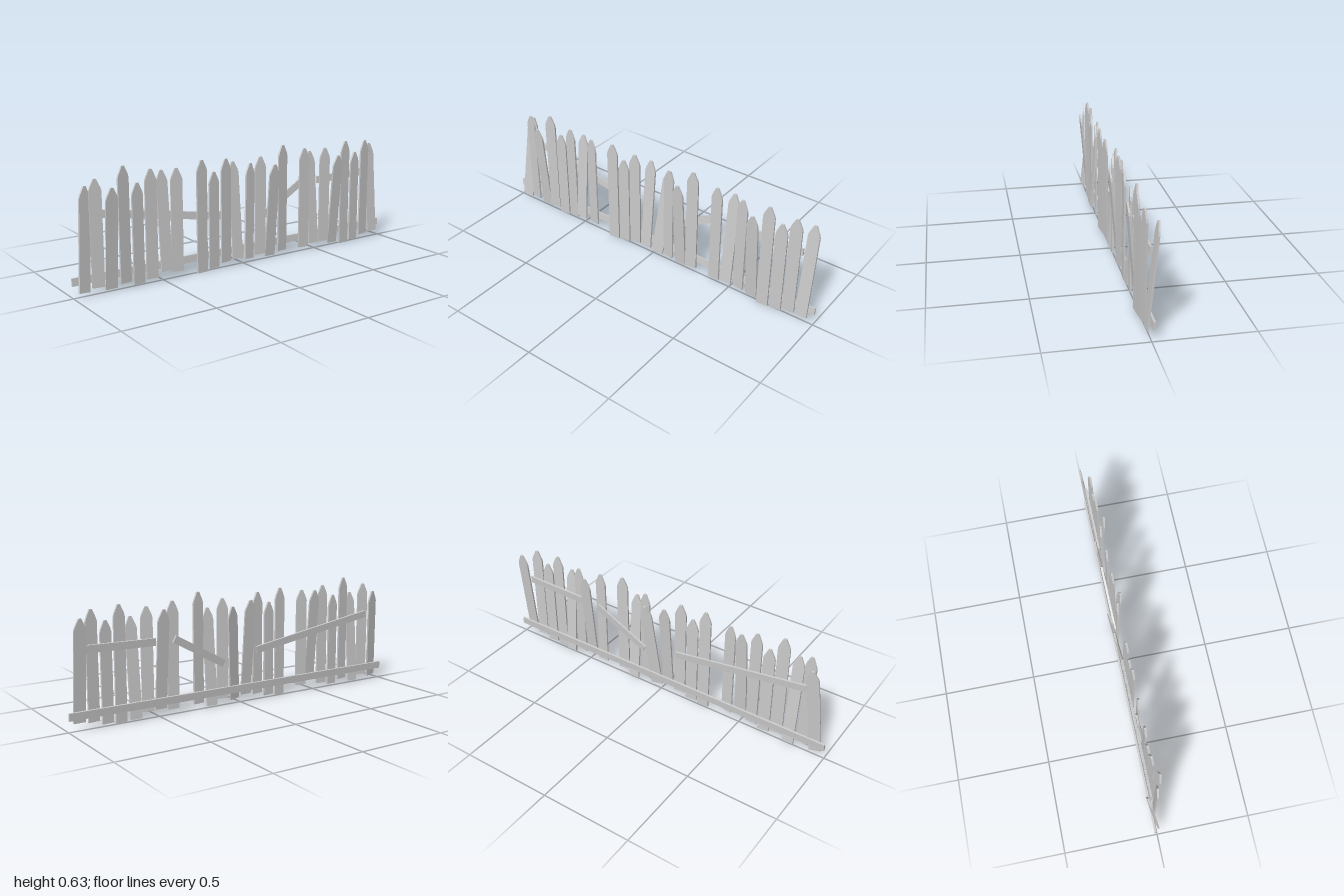
import * as THREE from 'three';

const material = new THREE.MeshStandardMaterial({ color: 0xcccccc, flatShading: true });
const PLANK_WIDTH = 0.064, PLANK_DEPTH = 0.01, SPACING = 0.0752;

// Board with a tapered, slightly blunted tip, standing on its own origin
function plankGeometry(height) {
  const w = PLANK_WIDTH / 2;
  const shape = new THREE.Shape();
  shape.moveTo(-w, 0);
  shape.lineTo(w, 0);
  shape.lineTo(w, height - 0.06);
  shape.lineTo(w * 0.84, height - 0.042);
  shape.lineTo(0.007, height);
  shape.lineTo(-0.007, height);
  shape.lineTo(-w * 0.84, height - 0.042);
  shape.lineTo(-w, height - 0.06);
  return new THREE.ExtrudeGeometry(shape, { depth: PLANK_DEPTH, bevelEnabled: false })
    .translate(0, 0, -PLANK_DEPTH / 2);
}

// Picket kinds; z is the foot, back and side are how far the tip drifts
const kinds = {
  L: { foot: 0.022, top: 0.54, z: 0.008, back: 0.041, side: 0.045, yaw: 0.2 },
  A: { foot: 0.035, top: 0.58, yaw: -0.14 },
  F: { foot: 0.01, top: 0.533, z: -0.004, back: -0.044 },
  T: { foot: 0.03, top: 0.627, yaw: 0.14 },
  S: { foot: 0.01, top: 0.533, yaw: 0.1 },
  B: { foot: 0.025, top: 0.594, z: 0.011, yaw: -0.05 },
  R: { foot: 0.055, top: 0.575, z: 0.029, back: 0.044 },
  G: { foot: 0, top: 0.604, z: 0.011, yaw: 0.08 },
  M: { foot: 0.03, top: 0.594, yaw: 0.12 },
  K: { foot: 0.037, top: 0.563, z: 0.012, back: 0.049 },
};
// Order along the fence, a blank being a missing picket
const order = 'LAFTSBRA GSMKLAFT BKAFGSMK';

function makePicket({ foot, top, z = 0.009, back = 0, side = 0, yaw = 0 }) {
  const rise = top - foot;
  const picket = new THREE.Mesh(plankGeometry(Math.hypot(rise, back, side)), material);
  picket.name = 'picket';
  picket.position.set(0, foot, z);
  picket.rotation.set(-Math.atan2(back, rise), yaw, -Math.atan2(side, rise));
  return picket;
}

// Cross rail behind the pickets, tipped slightly about its length
function makeRail(name, x0, y0, x1, y1) {
  const length = Math.hypot(x1 - x0, y1 - y0);
  const rail = new THREE.Mesh(new THREE.BoxGeometry(length, 0.04, 0.011), material);
  rail.name = name;
  rail.position.set((x0 + x1) / 2, (y0 + y1) / 2, -0.011);
  rail.rotation.set(-0.08, 0, Math.atan2(y1 - y0, x1 - x0));
  return rail;
}

export function createModel() {
  const fence = new THREE.Group();
  fence.name = 'picketFence';

  // Upright pickets
  const pickets = new THREE.Group();
  pickets.name = 'pickets';
  [...order].forEach((letter, slot) => {
    if (letter === ' ') return;
    const picket = makePicket(kinds[letter]);
    picket.position.x = -0.944 + slot * SPACING;
    pickets.add(picket);
  });
  fence.add(pickets);

  // One full rail below, three broken lengths above
  fence.add(
    makeRail('bottomRail', -1, 0.08, 1, 0.08),
    makeRail('saggingRail', -0.87, 0.405, -0.1, 0.278),
    makeRail('brokenRail', 0.11, 0.23, 0.415, 0.402),
    makeRail('upperRail', 0.52, 0.397, 0.9, 0.405),
  );
  return fence;
}
